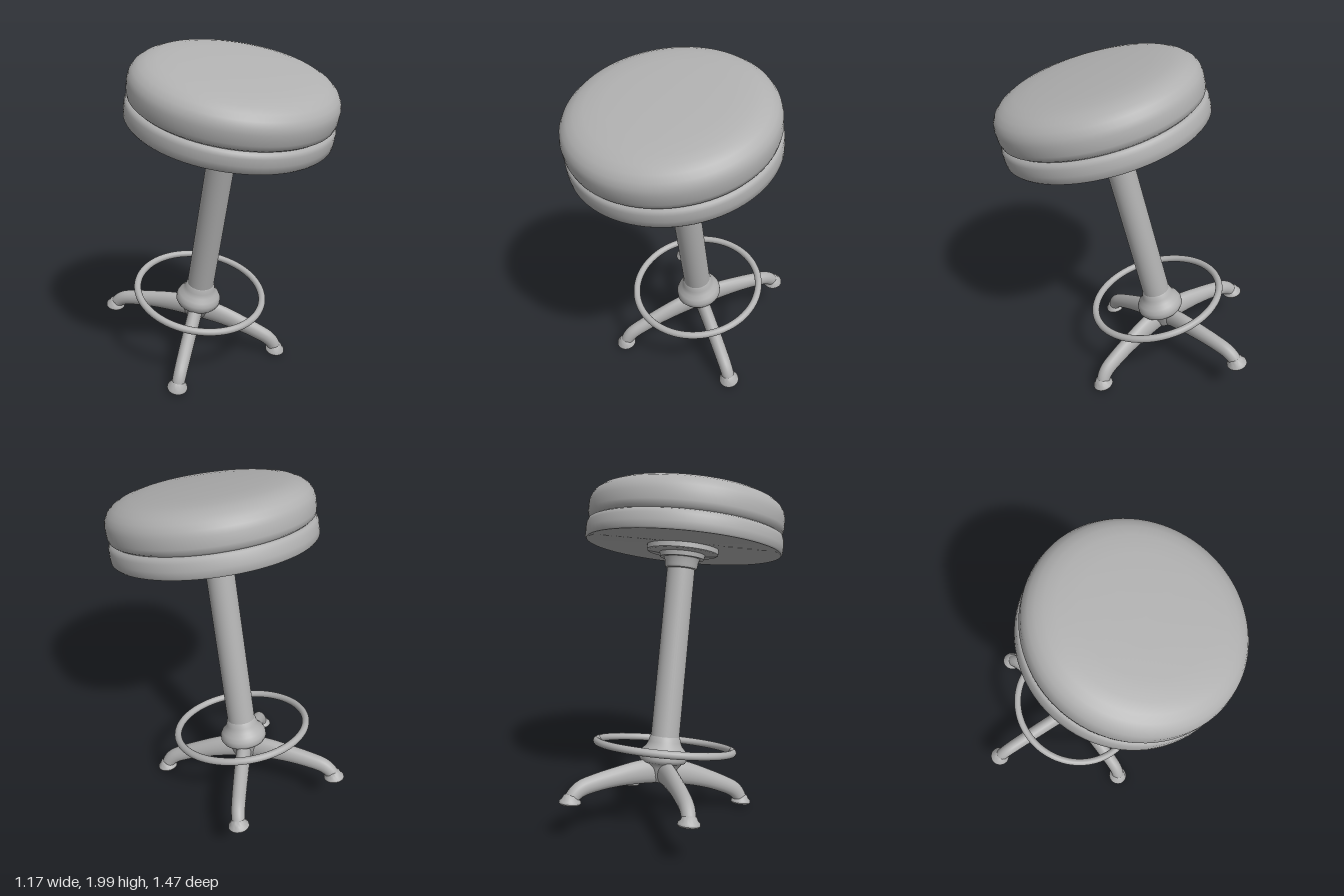
import * as THREE from 'three';
import { toCreasedNormals } from 'three/addons/utils/BufferGeometryUtils.js';

const TILT = 0.25;
const grey = new THREE.MeshStandardMaterial({ color: 0xb0b0b0 });
grey.name = 'plain grey';

function addMesh(parent, name, geometry) {
  const mesh = new THREE.Mesh(geometry, grey);
  mesh.name = name;
  parent.add(mesh);
  return mesh;
}

// Profile of [radius, height] pairs, listed from bottom to top on the outside
function turned(profile, segments = 64) {
  const points = profile.map(([r, y]) => new THREE.Vector2(r, y));
  return toCreasedNormals(new THREE.LatheGeometry(points, segments), 0.8);
}

// Leg swept along +x: elliptical sections on a bent centre line
function legGeometry() {
  // reach, height, half depth of the section
  const path = new THREE.CatmullRomCurve3([
    [0, 0.195, 0.075], [0.15, 0.18, 0.068], [0.3, 0.15, 0.056], [0.42, 0.117, 0.05],
    [0.495, 0.088, 0.047], [0.537, 0.05, 0.042], [0.553, 0.012, 0.04],
  ].map((p) => new THREE.Vector3(...p)));
  const rings = 28, sides = 18, positions = [], index = [];
  for (let i = 0; i <= rings; i++) {
    const c = path.getPoint(i / rings);
    const t = path.getTangent(i / rings);
    const len = Math.hypot(t.x, t.y);
    const width = 0.046 - 0.008 * (i / rings);
    for (let j = 0; j < sides; j++) {
      const a = (j / sides) * Math.PI * 2;
      const n = Math.cos(a) * c.z;
      positions.push(c.x - (t.y / len) * n, c.y + (t.x / len) * n, Math.sin(a) * width);
    }
  }
  for (let i = 0; i < rings; i++) {
    for (let j = 0; j < sides; j++) {
      const a = i * sides + j, b = i * sides + ((j + 1) % sides);
      index.push(a, b, a + sides, b, b + sides, a + sides);
    }
  }
  const geometry = new THREE.BufferGeometry();
  geometry.setAttribute('position', new THREE.Float32BufferAttribute(positions, 3));
  geometry.setIndex(index);
  geometry.computeVertexNormals();
  return geometry;
}

export function createModel() {
  const model = new THREE.Group();
  model.name = 'stool';

  // Everything is built upright, then leans forward as one piece
  const stool = new THREE.Group();
  stool.name = 'leaningStool';
  stool.position.set(0, 0.125, -0.253);
  stool.rotation.x = TILT;
  model.add(stool);

  // Seat: padded cushion over a lower band
  const seat = new THREE.Group();
  seat.name = 'seat';
  seat.position.z = 0.012;
  stool.add(seat);
  addMesh(seat, 'seatBand', turned([
    [0, 1.51], [0.55, 1.508], [0.575, 1.505], [0.583, 1.515], [0.585, 1.55],
    [0.583, 1.59], [0.575, 1.612], [0.555, 1.622], [0.5, 1.625],
  ], 80));
  addMesh(seat, 'cushion', turned([
    [0.5, 1.615], [0.555, 1.618], [0.573, 1.632], [0.58, 1.66], [0.58, 1.715],
    [0.573, 1.745], [0.555, 1.775], [0.525, 1.8], [0.485, 1.819], [0.43, 1.832],
    [0.33, 1.841], [0.18, 1.846], [0, 1.848],
  ], 80));

  // Mounting plate and collar below the seat
  addMesh(stool, 'mountingPlate', turned([
    [0, 1.445], [0.13, 1.445], [0.135, 1.472], [0.205, 1.474], [0.212, 1.48], [0.212, 1.512],
  ]));
  addMesh(stool, 'collar', turned([
    [0.08, 1.38], [0.092, 1.385], [0.097, 1.4], [0.1, 1.43], [0.11, 1.45],
  ], 40));

  // Column
  const column = addMesh(stool, 'column', new THREE.CylinderGeometry(0.082, 0.084, 1.15, 40, 1, true));
  column.position.y = 0.875;

  // Flared hub that joins the legs
  addMesh(stool, 'hub', turned([
    [0, 0.12], [0.05, 0.125], [0.075, 0.16], [0.09, 0.21], [0.11, 0.235], [0.13, 0.243],
    [0.141, 0.262], [0.14, 0.29], [0.127, 0.315], [0.107, 0.335], [0.095, 0.36],
    [0.089, 0.385], [0.082, 0.395],
  ], 48));

  // Foot ring
  const footRing = addMesh(stool, 'footRing', new THREE.TorusGeometry(0.4, 0.022, 16, 80));
  footRing.rotation.x = Math.PI / 2;
  footRing.position.set(0, 0.335, 0.008);

  // Four legs with flared feet
  const legShape = legGeometry();
  const footShape = turned([
    [0, 0.014], [0.035, 0.014], [0.04, 0], [0.055, 0], [0.061, 0.008],
    [0.059, 0.02], [0.046, 0.032], [0.038, 0.05], [0.02, 0.06],
  ], 28);
  const legAngles = { leftFrontLeg: -0.82, rightFrontLeg: Math.PI + 0.82, leftBackLeg: 0.89, rightBackLeg: Math.PI - 0.89 };
  for (const [name, angle] of Object.entries(legAngles)) {
    const leg = new THREE.Group();
    leg.name = name;
    leg.rotation.y = angle;
    stool.add(leg);
    addMesh(leg, 'legArm', legShape);
    addMesh(leg, 'foot', footShape).position.x = 0.555;
  }
  return model;
}
